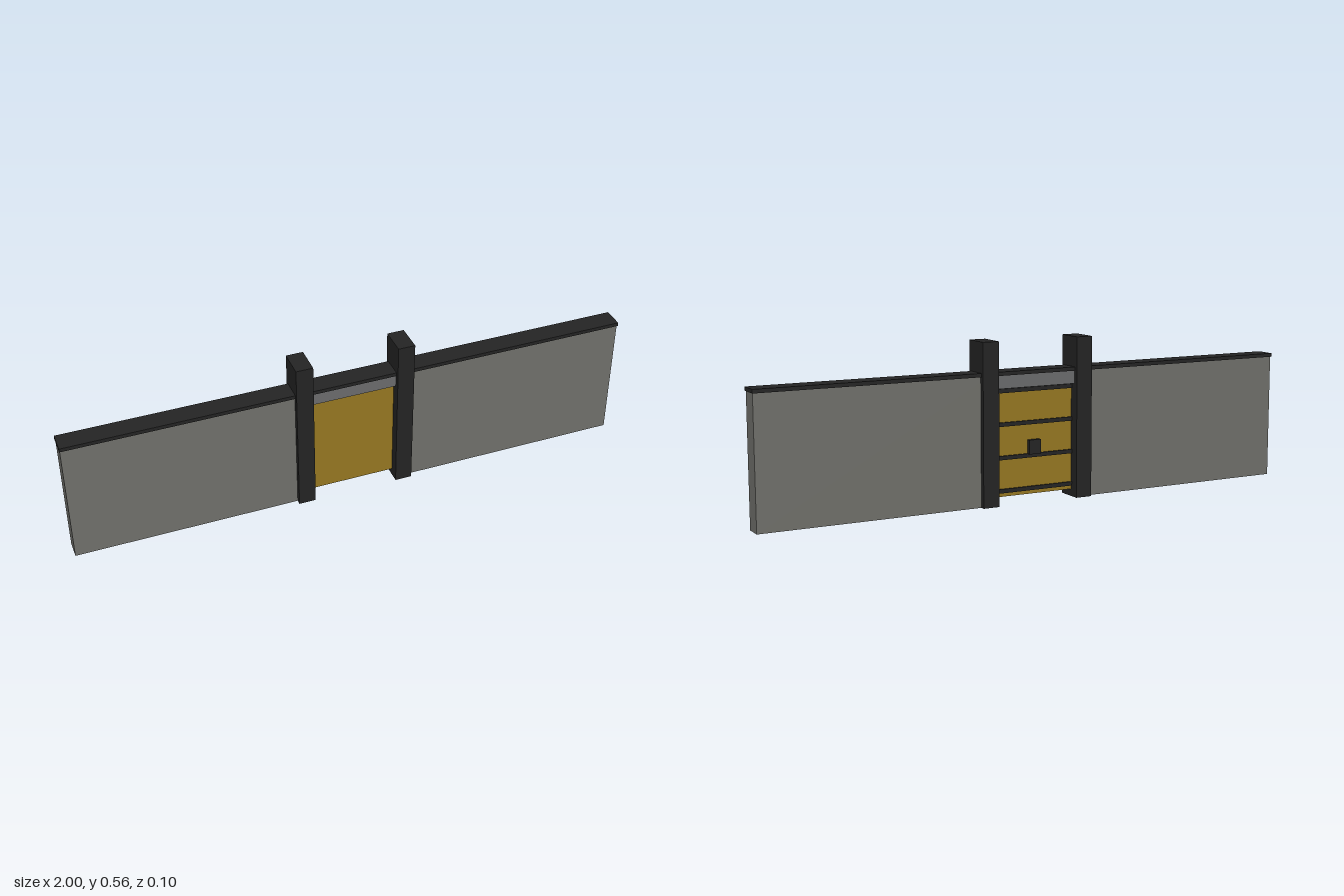
import * as THREE from 'three';

function mat(name, color) {
  const m = new THREE.MeshStandardMaterial({ color });
  m.name = name;
  return m;
}

export function createModel() {
  const model = new THREE.Group();
  model.name = 'wallWithGate';

  const concrete = mat('concrete grey', 0x70706b);
  const lintelGrey = mat('lintel grey', 0x6b6c6d);
  const dark = mat('dark metal', 0x242424);
  const ochre = mat('ochre gate', 0x967821);

  // Box given by its lower and upper limits on each axis
  function box(name, material, [x0, x1], [y0, y1], [z0, z1]) {
    const mesh = new THREE.Mesh(new THREE.BoxGeometry(x1 - x0, y1 - y0, z1 - z0), material);
    mesh.position.set((x0 + x1) / 2, (y0 + y1) / 2, (z0 + z1) / 2);
    mesh.name = name;
    model.add(mesh);
    return mesh;
  }
  const span = (s, a, b) => (s > 0 ? [a, b] : [-b, -a]);

  for (const s of [1, -1]) {
    const side = s > 0 ? 'left' : 'right';
    // Wall, gate post and gate leaf on each side
    box(side + 'Wall', concrete, span(s, 0.18, 0.998), [0, 0.445], [-0.032, 0.032]);
    box(side + 'Post', dark, span(s, 0.151, 0.211), [0, 0.563], [-0.05, 0.05]);
    box(side + 'GateLeaf', ochre, span(s, 0, 0.155), [0.025, 0.402], [-0.012, 0.014]);
  }

  // Coping along the whole wall and lintel above the gate
  box('coping', dark, [-1, 1], [0.445, 0.458], [-0.037, 0.037]);
  box('lintel', lintelGrey, [-0.155, 0.155], [0.4, 0.445], [-0.032, 0.032]);

  // Cross bars and lock on the back of the gate
  for (let i = 0; i < 4; i++) {
    const y = 0.045 + i * 0.115;
    box('crossBar' + (i + 1), dark, [-0.152, 0.152], [y - 0.007, y + 0.007], [-0.018, -0.012]);
  }
  box('lock', dark, [-0.022, 0.022], [0.165, 0.215], [-0.026, -0.012]);

  return model;
}
